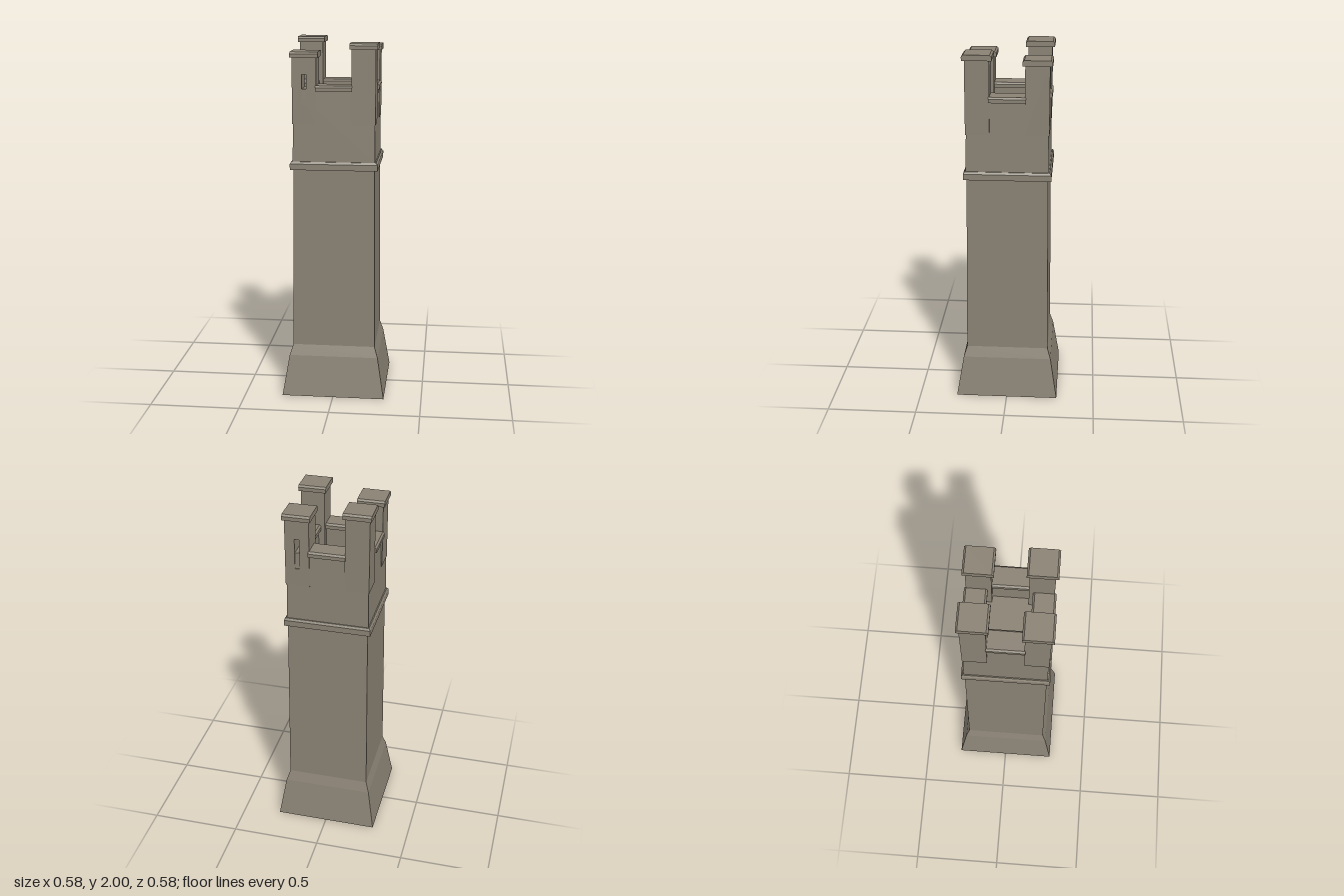
import * as THREE from 'three';

const stone = new THREE.MeshStandardMaterial({ color: 0x8a8274, flatShading: true });

function part(name, geometry, parent) {
  const mesh = new THREE.Mesh(geometry, stone);
  mesh.name = name;
  parent.add(mesh);
  return mesh;
}

// Square tower section: profile of [half width, height] pairs
function squareLathe(profile) {
  const points = profile.map(([r, y]) => new THREE.Vector2(r * Math.SQRT2, y));
  return new THREE.LatheGeometry(points, 4, Math.PI / 4);
}

// Slab with its two long top edges chamfered; spans x by length, z by depth, top at y = 0
function copingGeometry(length, depth, height) {
  const d = depth / 2, c = 0.01;
  const shape = new THREE.Shape([
    [-d, -height], [d, -height], [d, -c], [d - c, 0], [-d + c, 0], [-d, -c],
  ].map(([x, y]) => new THREE.Vector2(x, y)));
  return new THREE.ExtrudeGeometry(shape, { depth: length, bevelEnabled: false })
    .translate(0, 0, -length / 2).rotateY(Math.PI / 2);
}

// Turret shaft, optionally pierced front to back by a narrow slit
function turretGeometry(bottom, top, slit) {
  const w = 0.0655;
  const shape = new THREE.Shape([
    new THREE.Vector2(-w, bottom), new THREE.Vector2(w, bottom),
    new THREE.Vector2(w, top), new THREE.Vector2(-w, top),
  ]);
  if (slit) {
    shape.holes.push(new THREE.Path([
      new THREE.Vector2(-0.013, 1.65), new THREE.Vector2(-0.013, 1.82),
      new THREE.Vector2(0.013, 1.82), new THREE.Vector2(0.013, 1.65),
    ]));
  }
  return new THREE.ExtrudeGeometry(shape, { depth: 2 * w, bevelEnabled: false }).translate(0, 0, -w);
}

export function createModel() {
  const tower = new THREE.Group();
  tower.name = 'tower';

  // Splayed base, tapering shaft and hollow parapet
  part('shaft', squareLathe([
    [0, 0], [0.288, 0], [0.25, 0.23], [0.231, 0.29], [0.222, 1.3], [0.226, 1.345],
    [0.219, 1.74], [0.13, 1.74], [0.13, 1.6], [0, 1.6],
  ]), tower);

  // Moulding around the shaft
  part('stringCourse', squareLathe([
    [0.2, 1.3], [0.24, 1.3], [0.24, 1.333], [0.232, 1.345], [0.2, 1.345],
  ]), tower);

  // Coping stones on the four parapet walls
  for (let i = 0; i < 4; i++) {
    const pivot = new THREE.Group();
    pivot.name = 'parapetCoping';
    pivot.rotation.y = i * Math.PI / 2;
    part('copingStone', copingGeometry(0.2, 0.121, 0.03), pivot).position.set(0, 1.76, 0.176);
    tower.add(pivot);
  }

  // Corner turrets of differing heights, two with slits
  const turrets = [
    [1, 1, 1.985, false], [-1, 1, 1.94, true],
    [1, -1, 1.96, true], [-1, -1, 2.0, false],
  ];
  for (const [sx, sz, top, slit] of turrets) {
    const turret = new THREE.Group();
    turret.name = 'turret';
    turret.position.set(sx * 0.161, 0, sz * 0.161);
    part('turretShaft', turretGeometry(1.55, top - 0.02, slit), turret);
    part('turretCap', copingGeometry(0.151, 0.16, 0.031), turret).position.y = top;
    tower.add(turret);
  }
  return tower;
}
